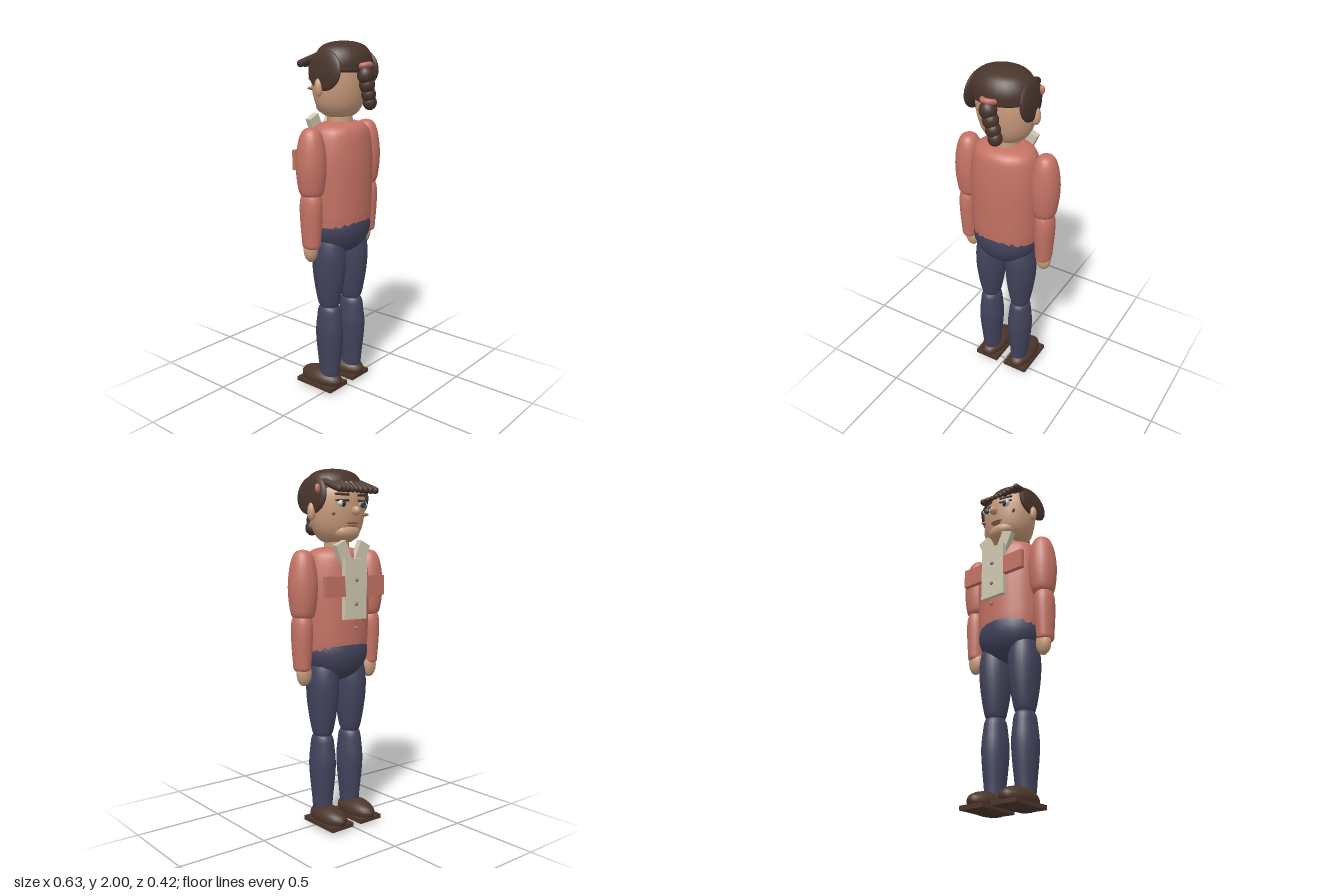
import * as THREE from 'three';

const mat = (name, color) => {
  const m = new THREE.MeshStandardMaterial({ color });
  m.name = name;
  return m;
};

export function createModel() {
  const shirt = mat('shirt coral', 0xc47264);
  const denim = mat('trouser navy', 0x42435c);
  const skin = mat('skin', 0xc99c7c);
  const hair = mat('hair brown', 0x49352c);
  const leather = mat('shoe brown', 0x4c362b);
  const cream = mat('cream', 0xcfc7b0);
  const white = mat('eye white', 0xdcd8d0);
  const iris = mat('iris dark', 0x303c48);
  const rose = mat('lip rose', 0x9c6250);
  const brass = mat('button', 0x94806c);

  const model = new THREE.Group();
  model.name = 'standingFigure';

  const add = (name, geometry, material, x = 0, y = 0, z = 0) => {
    const mesh = new THREE.Mesh(geometry, material);
    mesh.name = name;
    mesh.position.set(x, y, z);
    model.add(mesh);
    return mesh;
  };
  const ball = (name, material, [x, y, z], [rx, ry, rz]) =>
    add(name, new THREE.SphereGeometry(1, 20, 14).scale(rx, ry, rz), material, x, y, z);
  const box = (name, material, [x, y, z], [w, h, d]) =>
    add(name, new THREE.BoxGeometry(w, h, d), material, x, y, z);
  // Rounded body part turned from a smooth [radius, height] profile, then flattened in depth
  const turned = (name, material, profile, x, z, depth = 1) => {
    const curve = new THREE.SplineCurve(profile.map(([r, y]) => new THREE.Vector2(r, y)));
    const pts = curve.getPoints(28).map((p) => new THREE.Vector2(Math.max(p.x, 0), p.y));
    return add(name, new THREE.LatheGeometry(pts, 24).scale(1, 1, depth), material, x, 0, z);
  };
  // Capsule reaching from a to b
  const strand = (name, material, a, b, r) => {
    const p = new THREE.Vector3(...a), q = new THREE.Vector3(...b);
    const d = q.clone().sub(p);
    const m = add(name, new THREE.CapsuleGeometry(r, d.length(), 5, 10), material);
    m.position.copy(p.add(q).multiplyScalar(0.5));
    m.quaternion.setFromUnitVectors(new THREE.Vector3(0, 1, 0), d.normalize());
    return m;
  };

  // Trunk
  ball('hips', denim, [0, 1.0, -0.005], [0.192, 0.168, 0.155]);
  turned('torso', shirt, [[0, 1.0], [0.17, 1.005], [0.193, 1.03], [0.2, 1.15], [0.203, 1.35],
    [0.19, 1.48], [0.165, 1.545], [0.1, 1.572], [0, 1.578]], 0, -0.003, 0.77);
  add('neck', new THREE.CylinderGeometry(0.068, 0.072, 0.14, 20), skin, 0, 1.58, -0.01);

  // Limbs, mirrored
  for (const s of [-1, 1]) {
    const side = s > 0 ? 'left' : 'right';
    turned(side + 'UpperArm', shirt, [[0, 1.562], [0.04, 1.548], [0.066, 1.49], [0.08, 1.38],
      [0.074, 1.27], [0.055, 1.2], [0, 1.185]].reverse(), s * 0.235, -0.012, 1.04);
    turned(side + 'Forearm', shirt, [[0, 0.9], [0.04, 0.91], [0.048, 0.96], [0.056, 1.1],
      [0.052, 1.18], [0.03, 1.225], [0, 1.235]], s * 0.242, -0.01, 1.18);
    ball(side + 'Hand', skin, [s * 0.236, 0.895, -0.02], [0.045, 0.072, 0.036]);
    turned(side + 'Thigh', denim, [[0, 0.515], [0.045, 0.525], [0.066, 0.6], [0.084, 0.74],
      [0.084, 0.86], [0.06, 0.95], [0, 0.985]], s * 0.1, -0.008, 1.16);
    turned(side + 'Calf', denim, [[0, 0.08], [0.045, 0.09], [0.056, 0.17], [0.07, 0.34],
      [0.064, 0.45], [0.05, 0.525], [0, 0.545]], s * 0.1, -0.006, 1.2);
    ball(side + 'Shoe', leather, [s * 0.102, 0.064, -0.064], [0.073, 0.06, 0.143]);
    box(side + 'Sole', leather, [s * 0.102, 0.032, -0.065], [0.152, 0.024, 0.26]);
    ball(side + 'Heel', leather, [s * 0.102, 0.03, -0.064], [0.062, 0.03, 0.13]);
  }

  // Shirt front: placket, collar, pockets and buttons
  box('placket', cream, [0, 1.35, -0.163], [0.155, 0.325, 0.026]);
  for (const s of [-1, 1]) {
    const flap = box('collarFlap', cream, [s * 0.062, 1.54, -0.136], [0.072, 0.125, 0.036]);
    flap.rotation.z = -s * 0.42;
    box('chestPocket', shirt, [s * 0.139, 1.367, -0.163], [0.136, 0.11, 0.026]);
  }
  for (const y of [1.4, 1.27, 1.14]) ball('button', brass, [0, y, -0.181], [0.011, 0.011, 0.008]);

  // Head and face
  turned('head', skin, [[0, 1.595], [0.08, 1.603], [0.125, 1.64], [0.152, 1.7], [0.165, 1.79],
    [0.158, 1.87], [0.11, 1.94], [0, 1.965]], 0, -0.012, 0.86);
  ball('chin', skin, [0, 1.655, -0.088], [0.085, 0.052, 0.06]);
  ball('nose', skin, [0, 1.766, -0.172], [0.021, 0.026, 0.028]);
  ball('upperLip', rose, [0, 1.704, -0.143], [0.04, 0.008, 0.012]);
  ball('lowerLip', rose, [0, 1.69, -0.14], [0.03, 0.007, 0.012]);
  for (const s of [-1, 1]) {
    ball('ear', skin, [s * 0.173, 1.763, -0.01], [0.022, 0.048, 0.024]);
    ball('eye', white, [s * 0.066, 1.803, -0.138], [0.036, 0.02, 0.018]).rotation.y = s * 0.38;
    ball('iris', iris, [s * 0.067, 1.803, -0.151], [0.018, 0.019, 0.01]).rotation.y = s * 0.38;
    strand('upperLash', hair, [s * 0.035, 1.82, -0.153], [s * 0.102, 1.82, -0.134], 0.006);
    strand('brow', hair, [s * 0.035, 1.85, -0.15], [s * 0.1, 1.853, -0.128], 0.007);
    ball('cheek', rose, [s * 0.108, 1.75, -0.118], [0.023, 0.009, 0.008]).rotation.y = s * 0.7;
  }

  // Hair cap and side locks
  const cap = turned('hairCap', hair, [[0, 1.84], [0.15, 1.84], [0.17, 1.87], [0.163, 1.92],
    [0.13, 1.967], [0.075, 1.99], [0, 1.998]], 0, 0.015, 0.86);
  cap.scale.x = 1.01;
  for (const s of [-1, 1]) {
    const lock = ball('sideLock', hair, [s * 0.153, 1.85, 0.013], [0.026, 0.105, 0.116]);
    lock.rotation.set(0, s * 0.06, s * 0.1);
  }

  // Swept fringe
  const count = 9;
  for (let i = 0; i < count; i++) {
    const t = i / (count - 1);
    const edge = Math.abs(2 * t - 1);
    strand('fringeStrand', hair, [-0.13 + 0.25 * t, 1.945 - 0.025 * edge, -0.085 + 0.03 * edge],
      [-0.155 + 0.25 * t, 1.88, -0.138 - 0.014 * edge], 0.02);
  }

  // Tied braid and hair clip
  const tie = add('hairTie', new THREE.TorusGeometry(0.034, 0.014, 10, 20), shirt, 0, 1.872, 0.152);
  tie.rotation.x = Math.PI / 2 - 0.25;
  const braid = [[0, 1.825, 0.05], [0.013, 1.775, 0.047], [0.027, 1.725, 0.044], [0.038, 1.682, 0.042]];
  for (const [x, y, r] of braid) ball('braidKnot', hair, [x, y, 0.164], [r * 0.92, r, r * 0.88]);
  ball('hairClip', shirt, [0.171, 1.882, -0.062], [0.016, 0.024, 0.012]);

  return model;
}
